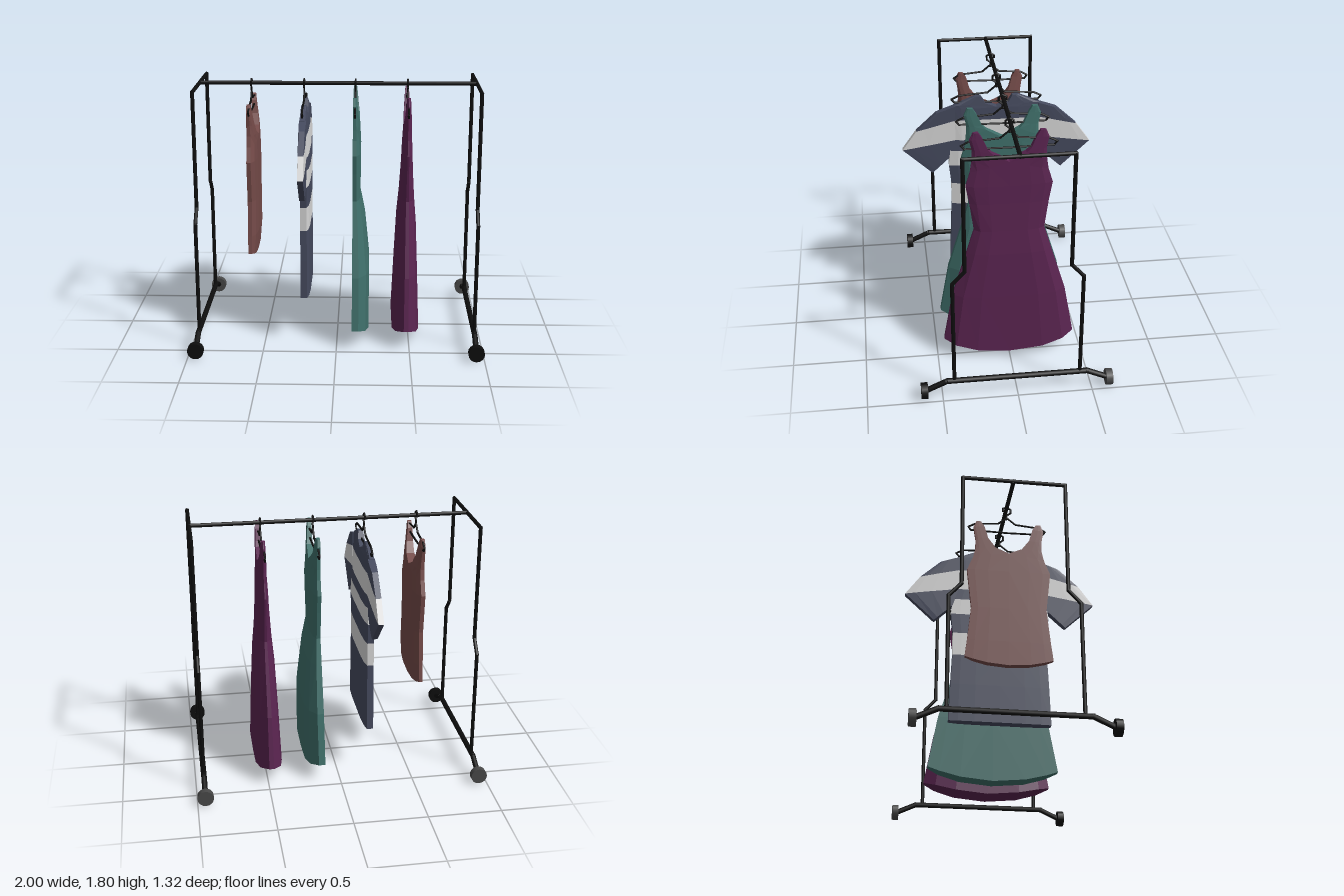
import * as THREE from 'three';
import { mergeGeometries } from 'three/addons/utils/BufferGeometryUtils.js';

const mat = (name, color) => {
  const m = new THREE.MeshStandardMaterial({ color });
  m.name = name;
  return m;
};

// Straight rods through a list of [x, y, z] points, merged into one geometry
function rods(points, r, sides = 8) {
  const up = new THREE.Vector3(0, 1, 0);
  const parts = [];
  for (let i = 0; i + 1 < points.length; i++) {
    const a = new THREE.Vector3(...points[i]), b = new THREE.Vector3(...points[i + 1]);
    const dir = b.clone().sub(a), len = dir.length();
    const g = new THREE.CylinderGeometry(r, r, len + r, sides);
    g.applyQuaternion(new THREE.Quaternion().setFromUnitVectors(up, dir.normalize()));
    const mid = a.add(b).multiplyScalar(0.5);
    parts.push(g.translate(mid.x, mid.y, mid.z));
  }
  return mergeGeometries(parts);
}

// Cloth lofted from rows of [zInner, yInner, zOuter, yOuter, front, back, curve],
// with a padded cross-section, closed at both ends and mirrored across z = 0
const U = [0, 0.5, 0.82, 1];
function cloth(rows, x, edge) {
  const pos = [], n = U.length;
  const ring = ([zi, yi, zo, yo, front, back, curve = 1], s) => {
    const at = (k, t, e) => [
      x + t * [1, 1, 1 - 0.3 * (1 - e), e][k],
      yi + (yo - yi) * U[k] ** curve,
      s * (zi + (zo - zi) * U[k]),
    ];
    const out = [];
    for (let k = 0; k < n; k++) out.push(at(k, front, edge[0]));
    for (let k = n - 1; k >= 0; k--) out.push(at(k, -back, edge[1]));
    return out;
  };
  for (const s of [1, -1]) {
    const tri = (a, b, c) => pos.push(...a, ...(s > 0 ? b : c), ...(s > 0 ? c : b));
    const rings = rows.map(r => ring(r, s)), m = 2 * n;
    for (let i = 0; i + 1 < rings.length; i++) {
      for (let k = 0; k < m; k++) {
        const l = (k + 1) % m, p = rings[i], q = rings[i + 1];
        tri(p[k], p[l], q[k]);
        tri(p[l], q[l], q[k]);
      }
    }
    const t = rings[0], b = rings[rings.length - 1];
    for (let k = 0; k + 1 < n; k++) {
      const j = m - 1 - k;
      tri(t[k], t[j], t[k + 1]);
      tri(t[k + 1], t[j], t[j - 1]);
      tri(b[k], b[k + 1], b[j]);
      tri(b[k + 1], b[j - 1], b[j]);
    }
  }
  const g = new THREE.BufferGeometry();
  g.setAttribute('position', new THREE.Float32BufferAttribute(pos, 3));
  g.computeVertexNormals();
  return g;
}

export function createModel() {
  const root = new THREE.Group();
  root.name = 'clothesRack';
  const black = mat('blackMetal', 0x0e0e0e);
  const grey = mat('greyWheel', 0x484848);
  const plum = mat('plumCloth', 0x5a2450);
  const green = mat('greenCloth', 0x3f6f6a);
  const brown = mat('brownCloth', 0x754b49);
  const navy = mat('navyCloth', 0x454a5e);
  const white = mat('whiteCloth', 0xd8d8d8);
  const add = (name, geometry, material, parent = root) => {
    const m = new THREE.Mesh(geometry, material);
    m.name = name;
    parent.add(m);
    return m;
  };

  // Rack: rail, two end frames, feet and wheels
  add('rail', rods([[-0.945, 1.77, -0.005], [0.945, 1.77, -0.005]], 0.014), black);
  for (const x of [-0.945, 0.945]) {
    const end = new THREE.Group();
    end.name = x > 0 ? 'leftEnd' : 'rightEnd';
    root.add(end);
    const half = [[0.42, 0.12], [0.42, 0.89], [0.34, 0.98], [0.34, 1.77]];
    const path = [...half, ...half.map(([z, y]) => [-z, y]).reverse()];
    add('endFrame', rods(path.map(([z, y]) => [x, y, z]), 0.013), black, end);
    const base = [[-0.61, 0.06], [-0.47, 0.125], [0.47, 0.125], [0.61, 0.06]];
    add('baseBar', rods(base.map(([z, y]) => [x, y, z]), 0.019), black, end);
    for (const s of [1, -1]) {
      const wheel = new THREE.CylinderGeometry(0.055, 0.055, 0.045, 16).rotateX(Math.PI / 2);
      add(s > 0 ? 'frontWheel' : 'backWheel', wheel.translate(x, 0.06, s * 0.62), s > 0 ? black : grey, end);
    }
  }

  // Hangers: hook over the rail, sloping arms and a lower bar
  const hanger = (x, w) => {
    const arm = [[0, 1.71], [0.06, 1.66], [0.26 * w, 1.645], [0.31 * w, 1.62], [0.29 * w, 1.595], [0, 1.59]];
    const loop = [...arm, ...arm.slice(0, -1).map(([z, y]) => [-z, y]).reverse()];
    const hook = [[0, 1.7], [0, 1.73], [0.025, 1.75], [0.025, 1.78], [0, 1.797], [-0.025, 1.785], [-0.027, 1.765]];
    const g = mergeGeometries([loop, hook].map(p => rods(p.map(([z, y]) => [x, y, z]), 0.007, 6)));
    add('hanger', g, black);
  };
  hanger(-0.59, 0.85);
  hanger(-0.23, 1);
  hanger(0.12, 1);
  hanger(0.475, 1);

  // Dresses: one outline, with its own front and back padding per row
  const dress = [
    [0.2, 1.71, 0.235, 1.71], [0.175, 1.67, 0.257, 1.66], [0.14, 1.59, 0.24, 1.58],
    [0.11, 1.56, 0.245, 1.5], [0, 1.5, 0.255, 1.43], [0, 1.33, 0.285, 1.33],
    [0, 1.2, 0.262, 1.2], [0, 1.0, 0.235, 1.0], [0, 0.83, 0.285, 0.83],
    [0, 0.5, 0.385, 0.5], [0, 0.05, 0.45, 0.135],
  ];
  const pad = [0.012, 0.015, 0.02, 0.022, 0.025, 0.032, 0.037, 0.05, 0.064, 0.077, 0.093];
  const last = dress.length - 1;
  add('plumDress', cloth(dress.map((r, i) => [...r, pad[i], pad[i], i === last ? 2 : 1]), 0.478, [0.18, 0.18]), plum);
  const frontPad = [0.01, 0.014, 0.022, 0.028, 0.033, 0.04, 0.04, 0.037, 0.07, 0.102, 0.1];
  add('greenDress', cloth(dress.map((r, i) => [...r, frontPad[i], 0.015, i === last ? 2 : 1]), 0.12, [0.3, 1]), green);

  // Sleeveless top
  add('tankTop', cloth([
    [0.19, 1.66, 0.22, 1.66, 0.015, 0.012], [0.165, 1.62, 0.24, 1.61, 0.018, 0.015],
    [0.14, 1.53, 0.225, 1.52, 0.03, 0.016], [0.09, 1.46, 0.225, 1.45, 0.04, 0.016],
    [0, 1.42, 0.24, 1.38, 0.046, 0.016], [0, 1.28, 0.28, 1.28, 0.047, 0.016],
    [0, 1.0, 0.25, 1.0, 0.047, 0.016], [0, 0.76, 0.275, 0.76, 0.045, 0.016],
    [0, 0.59, 0.29, 0.64, 0.03, 0.016, 2],
  ], -0.593, [0.3, 0.9]).translate(0, 0, 0.01), brown);

  // Striped shirt: body bands from neck to hem, then sleeve bands
  const shirt = new THREE.Group();
  shirt.name = 'stripedShirt';
  root.add(shirt);
  const row = (y, z, f) => [0, y, z, y, f, 0.026];
  const body = [
    [navy, [0.11, 1.64, 0.15, 1.64, 0.014, 0.02], [0.08, 1.59, 0.3, 1.575, 0.02, 0.024], [0, 1.56, 0.3, 1.55, 0.024, 0.025], row(1.47, 0.3, 0.028)],
    [white, row(1.47, 0.3, 0.028), row(1.32, 0.3, 0.034)],
    [navy, row(1.32, 0.3, 0.034), row(1.24, 0.33, 0.04)],
    [white, row(1.24, 0.33, 0.04), row(1.125, 0.34, 0.04)],
    [navy, row(1.125, 0.34, 0.04), row(0.98, 0.325, 0.038)],
    [white, row(0.98, 0.325, 0.038), row(0.815, 0.325, 0.038)],
    [navy, row(0.815, 0.325, 0.038), row(0.6, 0.335, 0.038), row(0.335, 0.345, 0.038)],
  ];
  for (const [m, ...rows] of body) add('bodyBand', cloth(rows, -0.225, [0.55, 0.9]), m, shirt);
  const cuts = [[0.29, 1.575, 0.42, 1.53], [0.29, 1.47, 0.56, 1.4], [0.29, 1.32, 0.66, 1.26], [0.33, 1.19, 0.457, 1.07]];
  [navy, white, navy].forEach((m, i) => {
    const rows = [cuts[i], cuts[i + 1]].map(c => [...c, 0.022, 0.025]);
    add('sleeveBand', cloth(rows, -0.225, [0.8, 0.8]), m, shirt);
  });
  return root;
}
